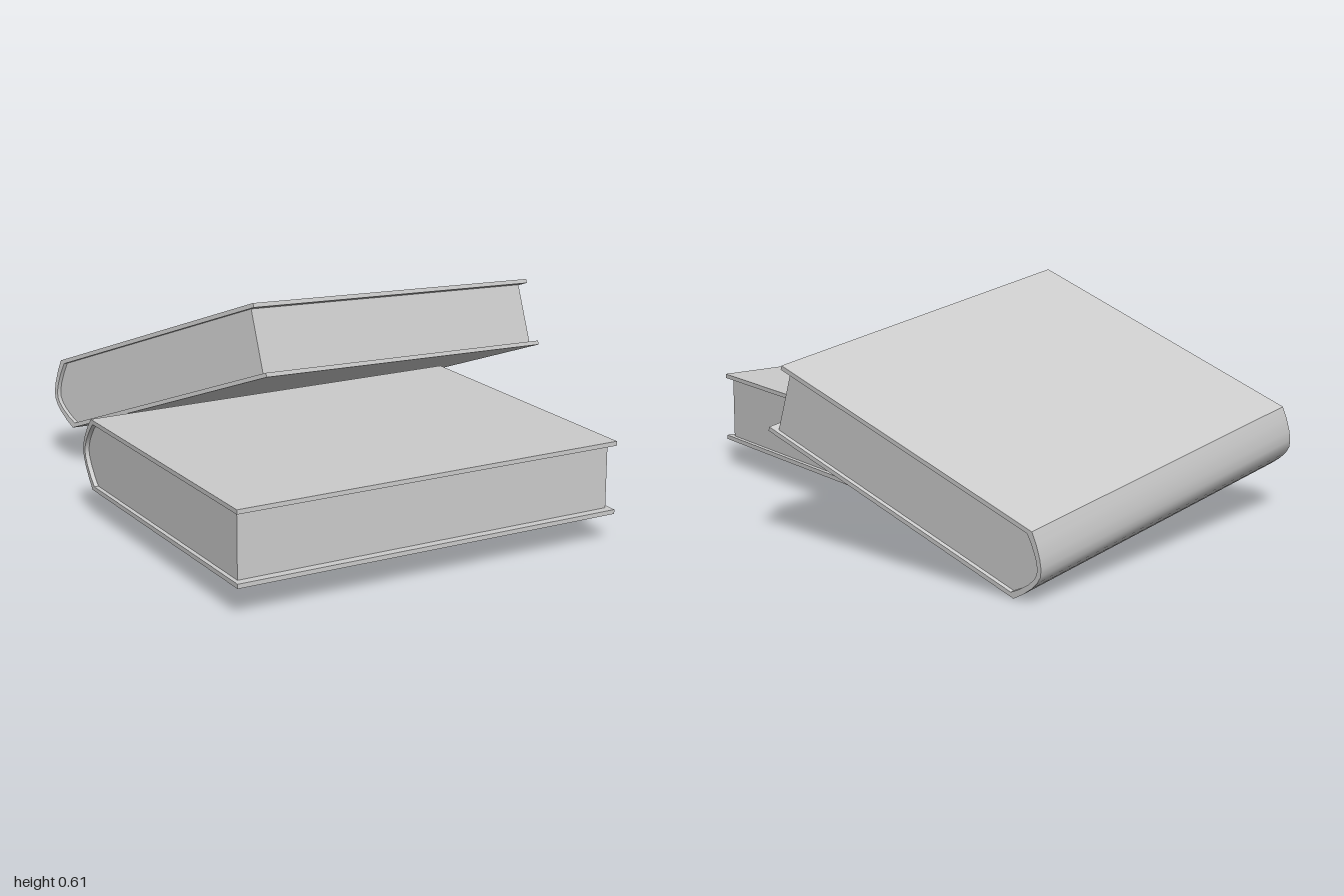
import * as THREE from 'three';
import { toCreasedNormals } from 'three/addons/utils/BufferGeometryUtils.js';

const LENGTH = 1.115, HALF = 0.1, BOARD = 0.012;
const material = new THREE.MeshStandardMaterial({ color: 0xcccccc });

// Outline of the rounded spine, top to bottom; x runs from fore edge to spine
function spineCurve(inset) {
  const upper = [[0.856, 0.1], [0.878, 0.074], [0.898, 0.044], [0.909, 0.02]];
  const lower = upper.map(([x, y]) => [x, -y]).reverse();
  return [...upper, [0.913, 0], ...lower].map(
    ([x, y]) => new THREE.Vector2(x - inset, y * (HALF - inset) / HALF));
}

// Extrude a profile along the spine (local x), fore edge at z = 0
function extrudeProfile(points, length) {
  const geometry = new THREE.ExtrudeGeometry(new THREE.Shape(points), { depth: length, bevelEnabled: false });
  geometry.translate(0, 0, -length / 2);
  geometry.rotateY(Math.PI / 2);
  return toCreasedNormals(geometry, 0.7);
}

function addPart(group, name, geometry) {
  const mesh = new THREE.Mesh(geometry, material);
  mesh.name = name;
  group.add(mesh);
}

function makeBook(name) {
  const book = new THREE.Group();
  book.name = name;
  const inner = HALF - BOARD;

  // Cover: two boards joined by the spine in one C-shaped profile
  addPart(book, 'cover', extrudeProfile([
    new THREE.Vector2(0, HALF), ...spineCurve(0), new THREE.Vector2(0, -HALF),
    new THREE.Vector2(0, -inner), ...spineCurve(BOARD).reverse(), new THREE.Vector2(0, inner),
  ], LENGTH));

  // Pages: solid block set back from the edges of the cover
  addPart(book, 'pages', extrudeProfile([
    new THREE.Vector2(0.024, inner), ...spineCurve(BOARD), new THREE.Vector2(0.024, -inner),
  ], LENGTH - 0.024));
  return book;
}

export function createModel() {
  const model = new THREE.Group();
  model.name = 'books';

  // Book lying flat
  const flat = makeBook('flatBook');
  flat.position.set(0.165, 0.175, 0.81);
  flat.rotation.y = 0.347;
  model.add(flat);

  // Book leaning on the first, its spine low at the back
  const leaning = makeBook('leaningBook');
  const along = new THREE.Vector3(0.907, -0.113, -0.627).normalize();
  const up = new THREE.Vector3(0.46, 0.3, 0.63).cross(along).normalize();
  const outward = along.clone().cross(up);
  leaning.quaternion.setFromRotationMatrix(new THREE.Matrix4().makeBasis(along, up, outward));
  leaning.position.set(0.249, 0.453, 0.01);
  model.add(leaning);

  return model;
}
